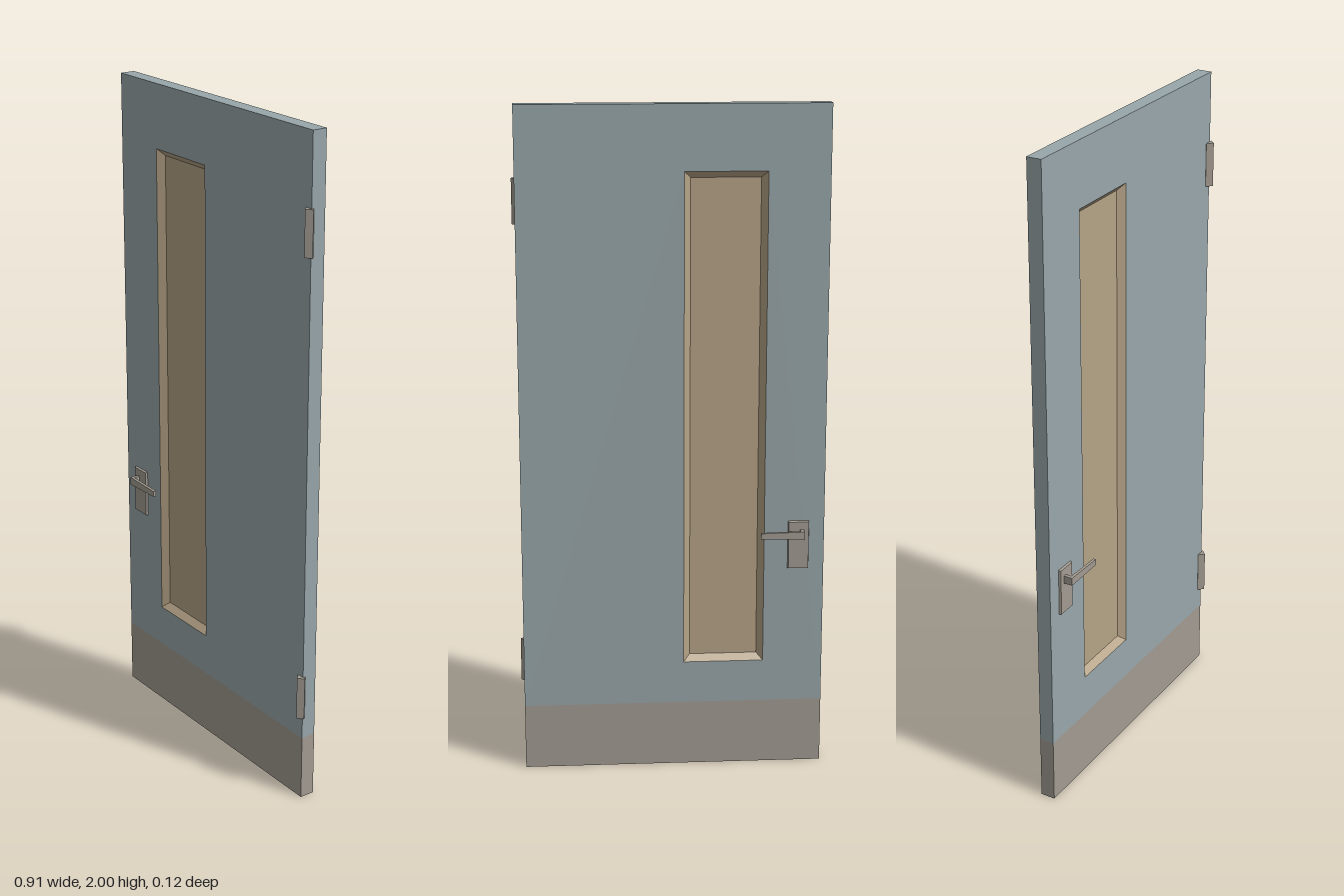
import * as THREE from 'three';

export function createModel() {
  const mat = (name, color, side = THREE.FrontSide) => {
    const m = new THREE.MeshStandardMaterial({ color, side });
    m.name = name;
    return m;
  };
  const paint = mat('blue grey paint', 0x98a6aa);
  const metal = mat('warm grey metal', 0xa29b91);
  const tan = mat('tan window', 0xb5a387, THREE.DoubleSide);

  const model = new THREE.Group();
  model.name = 'door';
  const add = (parent, name, geometry, material, x = 0, y = 0, z = 0) => {
    const mesh = new THREE.Mesh(geometry, material);
    mesh.name = name;
    mesh.position.set(x, y, z);
    parent.add(mesh);
    return mesh;
  };
  const rect = (P, x0, y0, x1, y1) => {
    const p = new P();
    p.moveTo(x0, y0);
    p.lineTo(x1, y0);
    p.lineTo(x1, y1);
    p.lineTo(x0, y1);
    p.closePath();
    return p;
  };

  // Leaf with a tall window opening
  const left = -0.455, right = 0.445, back = -0.022, front = 0.023, kick = 0.2;
  const depth = front - back, mid = (front + back) / 2;
  const win = { x0: -0.276, x1: -0.036, y0: 0.33, y1: 1.81 };
  const leaf = rect(THREE.Shape, left, kick, right, 2);
  leaf.holes.push(rect(THREE.Path, win.x0, win.y0, win.x1, win.y1));
  add(model, 'leaf', new THREE.ExtrudeGeometry(leaf, { depth, bevelEnabled: false }), paint, 0, 0, back);
  add(model, 'kickPlate', new THREE.BoxGeometry(right - left, kick, depth), metal, (left + right) / 2, kick / 2, mid);

  // Sloping window surround on each face, with the pane between
  const inset = 0.019, paneHalf = 0.004;
  const corners = (d, z) => [
    [win.x0 + d, win.y0 + d, z], [win.x1 - d, win.y0 + d, z],
    [win.x1 - d, win.y1 - d, z], [win.x0 + d, win.y1 - d, z],
  ];
  for (const s of [1, -1]) {
    const outer = corners(0, s > 0 ? front : back);
    const inner = corners(inset, mid + s * paneHalf);
    const pos = [];
    for (let i = 0; i < 4; i++) {
      const j = (i + 1) % 4;
      const quad = [outer[i], outer[j], inner[j], inner[i]];
      const order = s > 0 ? [0, 1, 2, 0, 2, 3] : [0, 2, 1, 0, 3, 2];
      order.forEach((k) => pos.push(...quad[k]));
    }
    const g = new THREE.BufferGeometry();
    g.setAttribute('position', new THREE.Float32BufferAttribute(pos, 3));
    g.computeVertexNormals();
    add(model, s > 0 ? 'frontSurround' : 'backSurround', g, tan);
  }
  add(model, 'pane',
    new THREE.BoxGeometry(win.x1 - win.x0 - 2 * inset, win.y1 - win.y0 - 2 * inset, 2 * paneHalf),
    tan, (win.x0 + win.x1) / 2, (win.y0 + win.y1) / 2, mid);

  // Square-section hinge knuckles set on edge at the front corner
  for (const y of [0.335, 1.725]) {
    const g = new THREE.CylinderGeometry(0.016, 0.016, 0.132, 4).toNonIndexed();
    g.computeVertexNormals();
    add(model, y > 1 ? 'upperHinge' : 'lowerHinge', g, metal, 0.438, y, 0.024);
  }

  // Lever handle and bevelled back plate on each face
  for (const s of [1, -1]) {
    const handle = new THREE.Group();
    handle.name = s > 0 ? 'frontHandle' : 'backHandle';
    const face = s > 0 ? front : -back;
    const top = s > 0 ? 0.03 : 0.032;
    const plate = new THREE.BoxGeometry(0.064, 0.148, top - face + 0.002);
    const p = plate.attributes.position;
    for (let i = 0; i < p.count; i++) {
      if (p.getZ(i) * s > 0) p.setXY(i, p.getX(i) * 0.93, p.getY(i) * 0.97);
    }
    plate.computeVertexNormals();
    add(handle, 'backPlate', plate, metal, -0.378, 0.697, s * (face - 0.002 + top) / 2);
    add(handle, 'stem', new THREE.BoxGeometry(0.011, 0.024, 0.0575 - face), metal,
      -0.3875, 0.734, s * (face + 0.0575) / 2);
    // Lever narrows slightly towards its tip
    const lever = new THREE.BoxGeometry(0.13, 0.024, 0.009);
    const q = lever.attributes.position;
    for (let i = 0; i < q.count; i++) if (q.getX(i) > 0) q.setY(i, q.getY(i) * 0.75);
    lever.computeVertexNormals();
    add(handle, 'lever', lever, metal, -0.328, 0.734, s * 0.053);
    model.add(handle);
  }
  return model;
}
